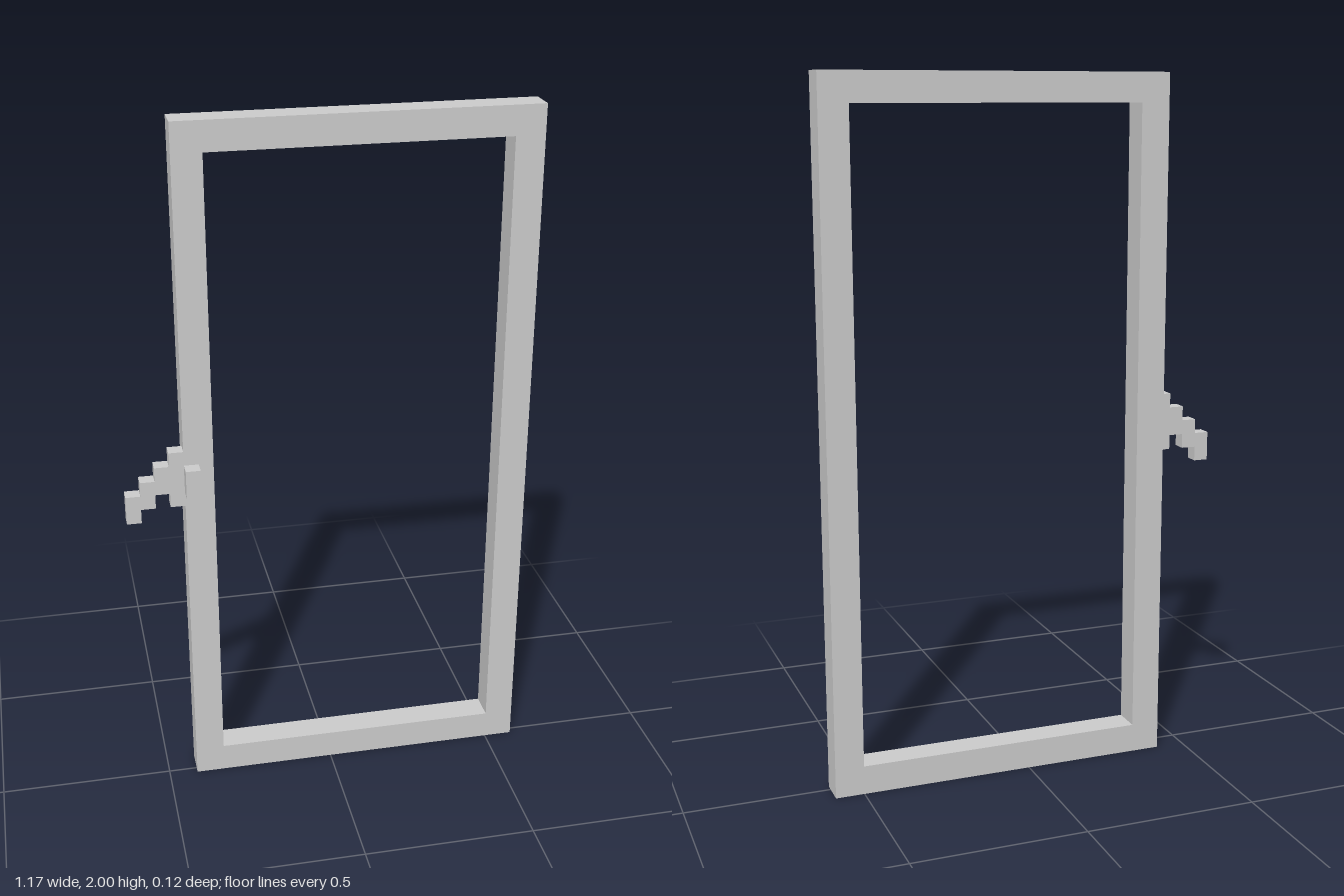
import * as THREE from 'three';

const U = 1 / 24; // grid unit the whole model snaps to

const material = new THREE.MeshStandardMaterial({ color: 0xcccccc, flatShading: true });

const points = (list) => list.map(([x, y]) => new THREE.Vector2(x * U, y * U));
const rect = (x0, y0, x1, y1) => points([[x0, y0], [x1, y0], [x1, y1], [x0, y1]]);

// Extrude a flat outline from z0 to z1 (in units)
function slab(name, shape, z0, z1) {
  const geometry = new THREE.ExtrudeGeometry(shape, { depth: (z1 - z0) * U, bevelEnabled: false });
  geometry.translate(0, 0, z0 * U);
  const mesh = new THREE.Mesh(geometry, material);
  mesh.name = name;
  return mesh;
}

export function createModel() {
  const group = new THREE.Group();
  group.name = 'doorFrame';

  // Rectangular frame with a tall opening
  const frame = new THREE.Shape(rect(-10, 0, 14, 48));
  frame.holes.push(new THREE.Path(rect(-8, 2, 12, 46)));
  group.add(slab('frame', frame, -1.5, 0.5));

  // Stepped handle: columns [left x, bottom y, top y], from tip to frame
  const columns = [[-14, 21, 23], [-13, 22, 24], [-12, 23, 25], [-11, 22, 26]];
  const lower = columns.flatMap(([x, y]) => [[x, y], [x + 1, y]]);
  const upper = columns.flatMap(([x, , y]) => [[x, y], [x + 1, y]]).reverse();
  group.add(slab('handle', new THREE.Shape(points([...lower, ...upper])), -0.5, 0.5));

  // Small latch on the front of the frame
  group.add(slab('latch', new THREE.Shape(rect(-10, 23, -9, 25)), 0.5, 1.5));

  return group;
}
